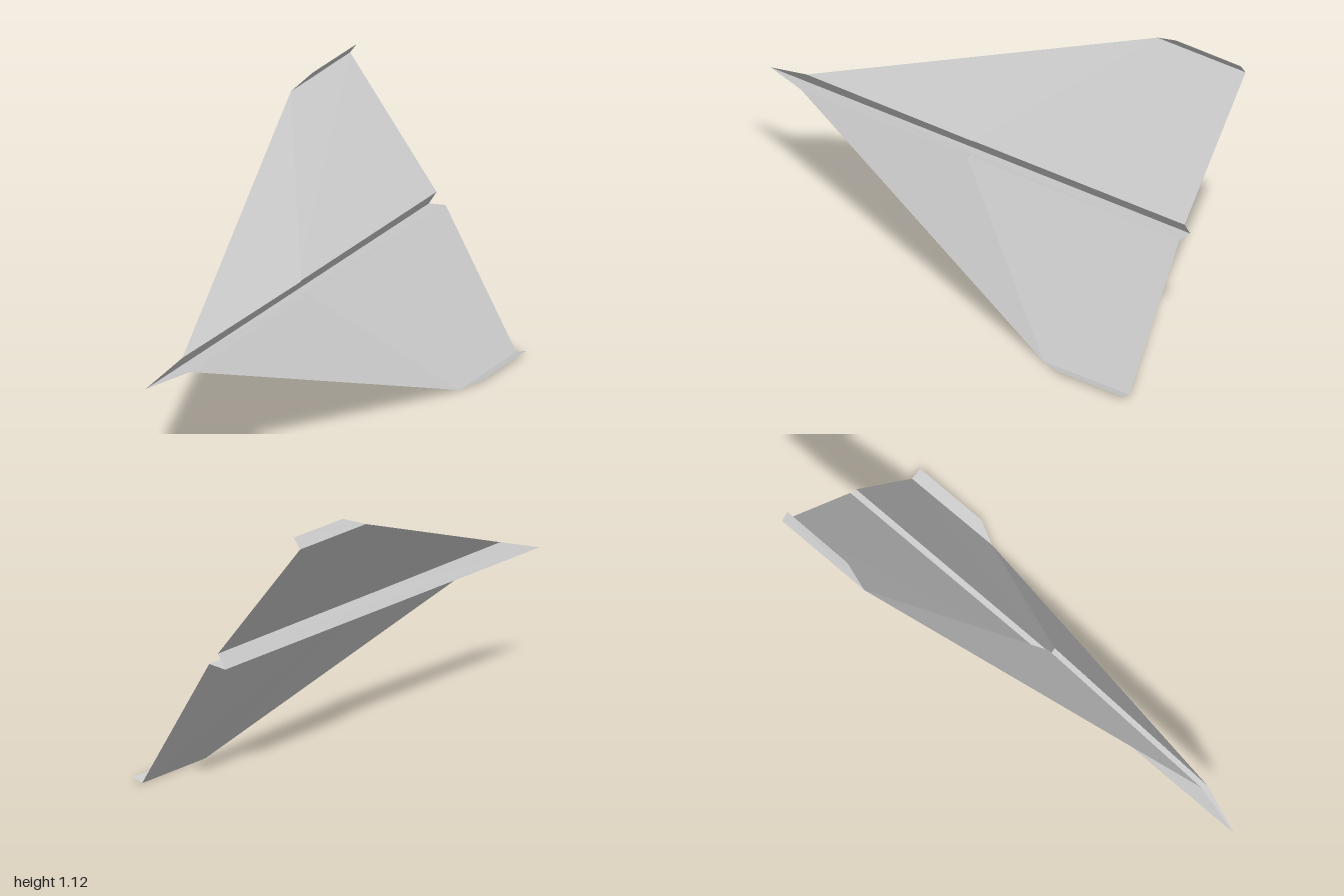
import * as THREE from 'three';

const paper = new THREE.MeshStandardMaterial({ color: 0xcccccc, flatShading: true, side: THREE.DoubleSide });

// Thin flat sheet from an outline of 3D corners
function sheet(name, ...pts) {
  const pos = [];
  for (let i = 1; i < pts.length - 1; i++) pos.push(...pts[0], ...pts[i], ...pts[i + 1]);
  const g = new THREE.BufferGeometry();
  g.setAttribute('position', new THREE.Float32BufferAttribute(pos, 3));
  g.computeVertexNormals();
  const m = new THREE.Mesh(g, paper);
  m.name = name;
  return m;
}

// Keel fold shared by both halves
const nose = [-0.015, 0.52, 1];
const keelRear = [-0.045, 0.53, -0.99];

// Fold corners of each half of the banked paper plane
const halves = {
  right: {
    rootFront: [0.02, 0.583, 0.8], rootMid: [0.007, 0.584, 0], rootRear: [-0.01, 0.587, -0.99],
    flapCorner: [0.03, 0.6, 0],
    tipFront: [-0.393, 1.072, -0.565], tipRear: [-0.4, 1.075, -0.983],
    finFront: [-0.367, 1.115, -0.675], finRear: [-0.37, 1.117, -0.983],
  },
  left: {
    rootFront: [0.055, 0.533, 0.8], rootMid: [0.043, 0.537, 0], rootRear: [0.028, 0.54, -0.995],
    flapCorner: [0.064, 0.555, 0],
    tipFront: [0.357, 0.002, -0.595], tipRear: [0.347, 0.005, -1],
    finFront: [0.4, 0.018, -0.69], finRear: [0.394, 0.021, -1],
  },
};

export function createModel() {
  const model = new THREE.Group();
  model.name = 'paperPlane';
  for (const [side, p] of Object.entries(halves)) {
    const half = new THREE.Group();
    half.name = side + 'Half';
    half.add(
      // Body wall from the keel fold up to the wing root
      sheet('bodyWall', nose, p.rootFront, p.rootMid, p.rootRear, keelRear),
      // Main wing, with the folded-over triangle lifted off it
      sheet('wing', p.rootMid, p.rootRear, p.tipRear, p.tipFront, p.rootFront),
      sheet('foldedFlap', p.rootFront, p.flapCorner, p.tipFront),
      sheet('flapWall', p.rootFront, p.rootMid, p.flapCorner),
      // Turned-up wing tip
      sheet('winglet', p.tipFront, p.finFront, p.finRear, p.tipRear),
    );
    model.add(half);
  }
  return model;
}
